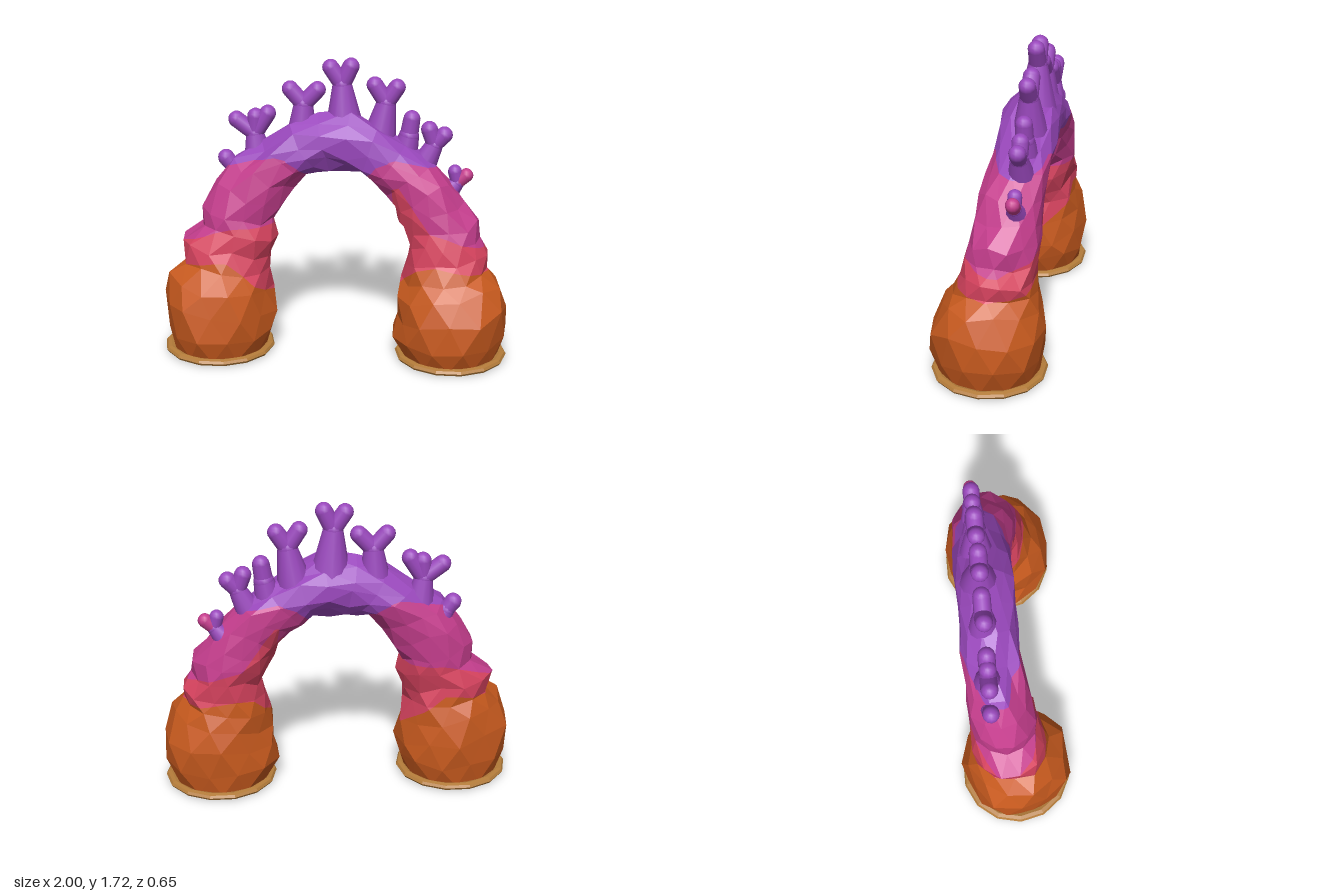
import * as THREE from 'three';

const mat = (name, color) => Object.assign(new THREE.MeshStandardMaterial({ color }), { name });

// Cross-sections as outer x, y and inner x, y; the feet are mirrored
const FOOT = [[.94, .01, .41, .01], [.985, .15, .35, .14], [.995, .33, .36, .25], [.94, .465, .375, .37]];
const SPAN = [
  [-.87, .56, -.385, .48], [-.88, .67, -.39, .58], [-.78, .76, -.34, .69], [-.76, .86, -.36, .78],
  [-.69, 1.0, -.30, .88], [-.58, 1.12, -.24, .98], [-.42, 1.22, -.17, 1.06], [-.26, 1.33, -.10, 1.08],
  [-.10, 1.39, -.03, 1.09], [.08, 1.41, .05, 1.07], [.24, 1.34, .14, 1.07], [.40, 1.23, .20, 1.03],
  [.55, 1.16, .28, .97], [.64, 1.04, .34, .88], [.73, .92, .36, .82], [.81, .81, .39, .76],
  [.82, .70, .43, .67], [.88, .62, .41, .57], [.88, .53, .39, .46],
];
const RINGS = [
  ...FOOT.map(([xo, yo, xi, yi]) => [-xo, yo, -xi, yi]),
  ...SPAN,
  ...[...FOOT].reverse(),
];
const SIDES = 12;

// Front and back z of the arch at a height
const DEPTH = [[0, .27, -.27], [.15, .31, -.31], [.3, .31, -.30], [.42, .265, -.275], [.52, .19, -.25],
  [.63, .145, -.25], [.92, .09, -.265], [1.1, .055, -.265], [1.3, .04, -.275]];
function depthAt(y) {
  const i = Math.max(1, DEPTH.findIndex((d) => d[0] >= y));
  const a = DEPTH[i - 1], b = DEPTH[i], t = (y - a[0]) / (b[0] - a[0]);
  return [1, 2].map((k) => THREE.MathUtils.lerp(a[k], b[k], t));
}

// Heights at which the colours change, varying across each leg
const over = (v) => Math.max(0, v);
const LEVELS = [
  () => -9,
  (x) => .59 - (x < 0 ? over(.6 + x) : 1.2 * over(.5 - x)) - .2 * over(Math.abs(x) - .6),
  (x) => .77 - .4 * over(Math.abs(x) - .6) + Math.min(1.4 * over(.55 - x), 6 * over(x - .28)),
  (x) => 1.18 - .3 * over(Math.abs(x) - .35) - 1.5 * over(.25 - Math.abs(x)),
  () => 9,
];

// Keep the part of a polygon above (sign 1) or below (sign -1) a level
function clip(poly, level, sign) {
  const out = [];
  poly.forEach((a, i) => {
    const b = poly[(i + 1) % poly.length];
    const da = sign * (a.y - level(a.x)), db = sign * (b.y - level(b.x));
    if (da >= 0) out.push(a);
    if (da * db < 0) out.push(a.clone().lerp(b, da / (da - db)));
  });
  return out;
}

// Rocky faceted surface swept along the arch
function archTriangles() {
  let seed = 11;
  const rand = () => { seed = (seed * 16807) % 2147483647; return seed / 2147483647 - .5; };
  const pts = RINGS.map(([xo, yo, xi, yi], i) => {
    const end = i === 0 || i === RINGS.length - 1;
    const [zf, zb] = depthAt((yo + yi) / 2);
    return Array.from({ length: SIDES }, (_, j) => {
      const a = ((j + (i % 2) * .5) / SIDES) * Math.PI * 2;
      const k = 1.02 + (end ? 0 : rand() * .13), c = Math.cos(a) * k, s = Math.sin(a) * k;
      const slide = end ? 0 : rand() * .045;
      return new THREE.Vector3(
        (xo + xi) / 2 + c * (xo - xi) / 2,
        (yo + yi) / 2 + c * (yo - yi) / 2 + slide,
        (zf + zb) / 2 + s * (zf - zb) / 2);
    });
  });
  const tris = [];
  for (let i = 0; i < pts.length - 1; i++) for (let j = 0; j < SIDES; j++) {
    const n = (j + 1) % SIDES;
    const a = pts[i][j], b = pts[i][n], c = pts[i + 1][j], d = pts[i + 1][n];
    if (i % 2) tris.push([a, b, d], [a, d, c]);
    else tris.push([a, b, c], [b, d, c]);
  }
  return tris;
}

// Branches: base, fork point, base radius, fork radius, tips
const BRANCHES = [
  [[-.56, 1.0], [-.60, 1.07], .065, .05, [[-.64, 1.12]]],
  [[-.45, 1.12], [-.47, 1.27], .085, .052, [[-.575, 1.35], [-.465, 1.37], [-.395, 1.39]]],
  [[-.20, 1.28], [-.19, 1.45], .085, .055, [[-.265, 1.535], [-.11, 1.535]]],
  [[.045, 1.32], [.03, 1.57], .11, .055, [[-.035, 1.665], [.08, 1.675]]],
  [[.24, 1.25], [.28, 1.47], .10, .055, [[.215, 1.57], [.34, 1.56]]],
  [[.38, 1.14], [.41, 1.28], .08, .058, [[.425, 1.38]]],
  [[.48, 1.08], [.555, 1.23], .08, .05, [[.525, 1.32], [.61, 1.29]]],
  [[.62, .93], [.69, 1.01], .07, .042, [[.675, 1.075], [.74, 1.055]]],
];
const BRANCH_Z = -.14;

export function createModel() {
  const root = new THREE.Group();
  root.name = 'coralArch';
  const orange = mat('orange rock', 0xc85a1e), red = mat('coral red', 0xd8435f);
  const magenta = mat('magenta', 0xc63e8e), purple = mat('purple', 0x9a48bd), tan = mat('sand', 0xb47c3a);

  const add = (geo, material, name, parent = root) => {
    const m = new THREE.Mesh(geo, material);
    m.name = name;
    parent.add(m);
    return m;
  };

  // Arch, split into four colour bands
  const tris = archTriangles();
  [orange, red, magenta, purple].forEach((material, k) => {
    const pos = [];
    for (const t of tris) {
      const p = clip(clip(t, LEVELS[k], 1), LEVELS[k + 1], -1);
      for (let i = 1; i < p.length - 1; i++) for (const v of [p[0], p[i], p[i + 1]]) pos.push(v.x, v.y, v.z);
    }
    const geo = new THREE.BufferGeometry();
    geo.setAttribute('position', new THREE.Float32BufferAttribute(pos, 3));
    geo.computeVertexNormals();
    add(geo, material, ['archFeet', 'lowerLegs', 'upperLegs', 'archCrown'][k]);
  });

  // Sandy rim and flat underside of each foot
  for (const s of [-1, 1]) {
    const rim = add(new THREE.TorusGeometry(.293, .03, 8, 14).rotateX(Math.PI / 2).toNonIndexed(), tan, 'footRim');
    rim.geometry.computeVertexNormals();
    rim.scale.y = .65;
    rim.position.set(s * .677, .02, 0);
    const base = add(new THREE.CircleGeometry(.305, 14).rotateX(Math.PI / 2), orange, 'footUnderside');
    base.position.set(s * .677, .002, 0);
  }

  // Rounded coral limb between two points in the plane of the arch
  const limb = (parent, a, b, r0, r1, material = purple) => {
    const p = new THREE.Vector3(a[0], a[1], BRANCH_Z), q = new THREE.Vector3(b[0], b[1], BRANCH_Z);
    const dir = q.clone().sub(p);
    const stem = add(new THREE.CylinderGeometry(r1, r0, dir.length(), 12, 1, true), material, 'branchStem', parent);
    stem.position.copy(p).add(q).multiplyScalar(.5);
    stem.quaternion.setFromUnitVectors(new THREE.Vector3(0, 1, 0), dir.normalize());
    add(new THREE.SphereGeometry(r1, 12, 8), material, 'branchTip', parent).position.copy(q);
  };

  // Forked branches along the top; the last has one magenta tip
  BRANCHES.forEach(([foot, fork, r0, r1, tips], i) => {
    const g = new THREE.Group();
    g.name = 'coralBranch';
    root.add(g);
    limb(g, foot, fork, r0, r1);
    tips.forEach((t, k) => limb(g, fork, t, r1 * .9, i === 7 ? .04 : .048, i === 7 && k === 1 ? magenta : purple));
  });
  return root;
}
